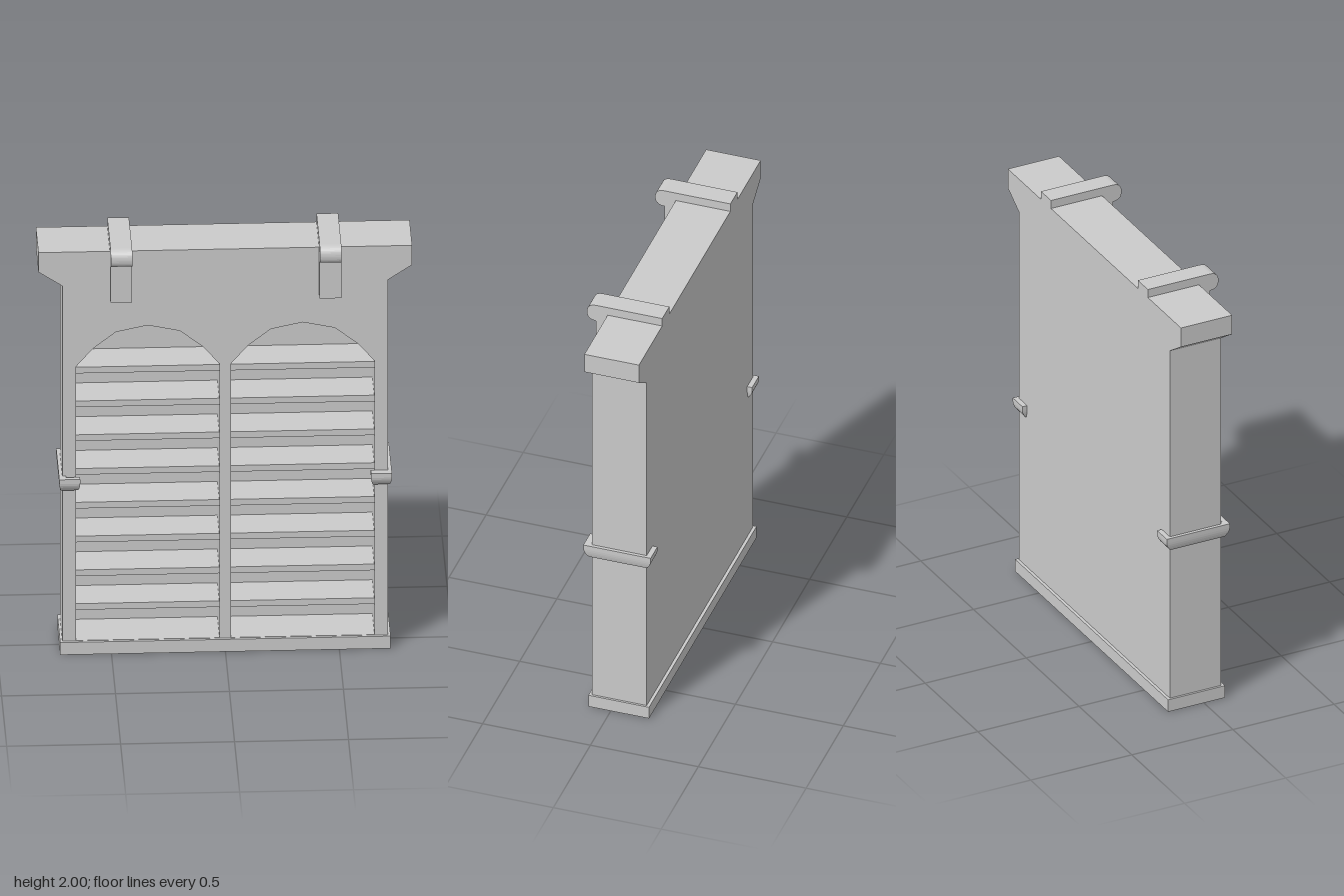
import * as THREE from 'three';

const BACK = -0.163, FRONT = 0.09, PANEL = -0.12; // z of back, front and rear panel face
const BAY_X = 0.34, BAY_HALF = 0.315;

export function createModel() {
  const group = new THREE.Group();
  const material = new THREE.MeshStandardMaterial({ color: 0xcccccc, flatShading: true });
  const add = (name, geometry) => {
    const mesh = new THREE.Mesh(geometry, material);
    mesh.name = name;
    group.add(mesh);
    return mesh;
  };
  const shapeOf = (pts) => new THREE.Shape(pts.map(([x, y]) => new THREE.Vector2(x, y)));
  const extrude = (shape, depth, extra = {}) =>
    new THREE.ExtrudeGeometry(shape, { depth, bevelEnabled: false, curveSegments: 10, ...extra });

  // Outer silhouette with flared cornice
  const right = [[0.715, 0], [0.715, 1.795], [0.82, 1.865], [0.82, 1.96]];
  const left = right.map(([x, y]) => [-x, y]).reverse();

  // Carcass: arched bays cut up from the bottom edge
  const arch = [[-BAY_HALF, 0], [-BAY_HALF, 1.4], [-0.24, 1.487], [-0.14, 1.565], [0, 1.595],
    [0.14, 1.565], [0.24, 1.487], [BAY_HALF, 1.4], [BAY_HALF, 0]];
  const bays = [-BAY_X, BAY_X].flatMap((cx) => arch.map(([x, y]) => [x + cx, y]));
  add('carcass', extrude(shapeOf([...right, ...left, ...bays]), FRONT - PANEL).translate(0, 0, PANEL));

  // Closed rear panel
  add('backPanel', extrude(shapeOf([...right, ...left]), PANEL - BACK).translate(0, 0, BACK));

  // Shelves; the lowest is the floor and reaches the plinth
  for (const side of [-1, 1]) {
    for (let i = 0; i < 9; i++) {
      const front = i === 0 ? FRONT : 0.06;
      const shelf = add(i === 0 ? 'floor' : 'shelf',
        new THREE.BoxGeometry(2 * BAY_HALF, 0.03, front - PANEL));
      shelf.position.set(side * BAY_X, 0.047 + i * 0.165, (front + PANEL) / 2);
    }
  }

  // Plinth: a rectangular rim open underneath (shape y is -z)
  const rect = (x, z0, z1) => [[-x, -z1], [x, -z1], [x, -z0], [-x, -z0]];
  const rim = shapeOf(rect(0.725, -0.177, 0.104));
  rim.holes.push(shapeOf(rect(BAY_X + BAY_HALF, PANEL, FRONT)));
  add('plinth', extrude(rim, 0.06).rotateX(-Math.PI / 2));

  // Side clamps: C-shaped in plan, rounded in towards the lower edge
  const zMin = -0.186, zMax = 0.126, xIn = 0.638, xOut = 0.73;
  const makeClamp = () => {
    const plan = shapeOf([[xIn, -zMax], [xOut, -zMax], [xOut, -zMin], [xIn, -zMin],
      [xIn, -BACK], [0.7, -BACK], [0.7, -FRONT], [xIn, -FRONT]]);
    const geo = extrude(plan, 0.063, { steps: 6 }).rotateX(-Math.PI / 2);
    const p = geo.attributes.position;
    for (let i = 0; i < p.count; i++) {
      const x = p.getX(i), z = p.getZ(i);
      const low = Math.max(0, 1 - p.getY(i) / 0.045);
      const inset = low * low * 0.022;
      if (z > zMax - 0.001) p.setZ(i, z - inset);
      if (z < zMin + 0.001) p.setZ(i, z + inset);
      if (x > xOut - 0.001) p.setX(i, x - inset * 0.4);
      if (x < xIn + 0.001) p.setX(i, x + inset * 0.4);
    }
    geo.computeVertexNormals();
    return geo.translate(0, 0.803, 0);
  };
  add('leftClamp', makeClamp());
  // Half turn about the clamp's own z centre mirrors the symmetric clamp
  const rightClamp = add('rightClamp', makeClamp());
  rightClamp.rotation.y = Math.PI;
  rightClamp.position.z = zMin + zMax;

  // Hooks over the top: profile in (z, y), extruded across x
  const hook = new THREE.Shape();
  hook.moveTo(BACK, 1.955);
  hook.lineTo(FRONT, 1.955);
  hook.lineTo(FRONT, 1.735);
  hook.lineTo(0.143, 1.735);
  hook.lineTo(0.143, 1.917);
  hook.quadraticCurveTo(0.186, 1.917, 0.186, 1.958);
  hook.quadraticCurveTo(0.186, 2, 0.143, 2);
  hook.lineTo(BACK, 2);
  hook.closePath();
  for (const side of [-1, 1]) {
    const mesh = add(side > 0 ? 'leftHook' : 'rightHook',
      extrude(hook, 0.095).translate(0, 0, -0.0475).rotateY(-Math.PI / 2));
    mesh.position.x = side * 0.459;
  }
  return group;
}
